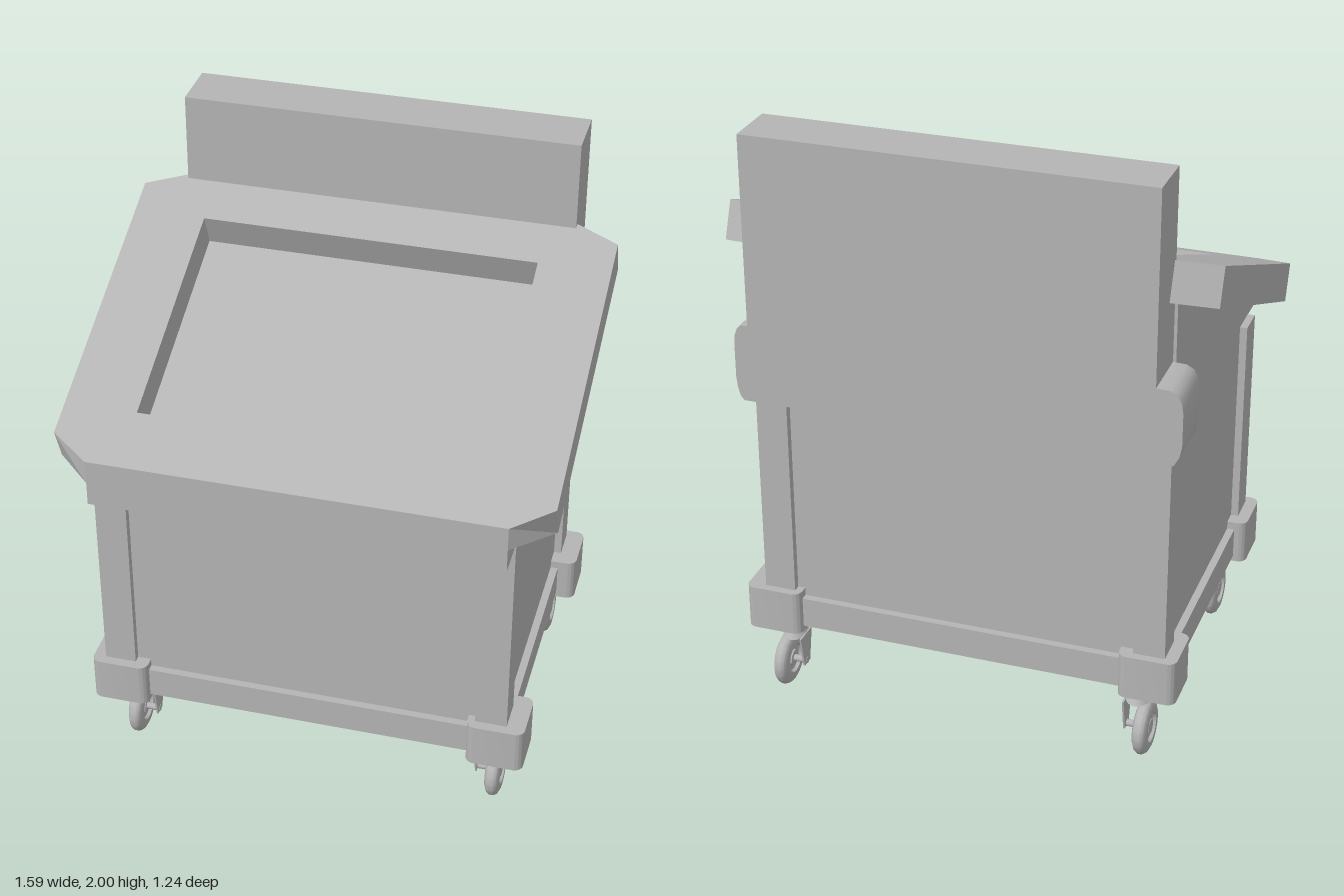
import * as THREE from 'three';
import { toCreasedNormals } from 'three/addons/utils/BufferGeometryUtils.js';

const SLOPE = Math.atan(0.411);
const SLAB = 0.127; // thickness of the sloped console top

export function createModel() {
  const model = new THREE.Group();
  model.name = 'kioskCart';
  const grey = new THREE.MeshStandardMaterial({ color: 0xb4b4b4 });
  grey.name = 'light grey';

  const add = (name, geometry, parent = model) => {
    const mesh = new THREE.Mesh(geometry, grey);
    mesh.name = name;
    parent.add(mesh);
    return mesh;
  };
  // box given by its limits on each axis
  const box = (name, x0, x1, y0, y1, z0, z1, parent) => {
    const g = new THREE.BoxGeometry(x1 - x0, y1 - y0, z1 - z0);
    g.translate((x0 + x1) / 2, (y0 + y1) / 2, (z0 + z1) / 2);
    return add(name, g, parent);
  };
  const shapeOf = (points) => new THREE.Shape(points.map(([x, y]) => new THREE.Vector2(x, y)));
  const extrude = (shape, depth) =>
    new THREE.ExtrudeGeometry(shape, { depth, bevelEnabled: false, curveSegments: 6 });

  // cabinet: recessed core, base frame and corner posts
  const L = -0.69, R = 0.67, F = 0.505, B = -0.545, inset = 0.025;
  box('cabinetPanels', L + inset, R - inset, 0.36, 1.11, B + inset, F - inset);
  box('baseFrame', L, R, 0.26, 0.365, B, F);
  for (const x of [L, R - 0.104]) {
    for (const z of [B, F - 0.107]) box('cornerPost', x, x + 0.104, 0.36, 1.112, z, z + 0.107);
  }

  // back panel with rounded shoulders low on each side
  const xl = -0.655, xr = 0.65;
  const bump = [[0, 1.372], [0.024, 1.37], [0.036, 1.358], [0.044, 1.335], [0.047, 1.3],
    [0.047, 1.19], [0.043, 1.155], [0.034, 1.125], [0.022, 1.112]];
  const rightSide = bump.map(([d, y]) => [xr + d, y]);
  const leftSide = bump.map(([d, y]) => [xl - d * 1.8, y]).reverse();
  const back = extrude(shapeOf([[xr, 2], ...[[xl, 2]], ...leftSide.slice().reverse(),
    ...rightSide.slice().reverse()]), 0.185);
  back.translate(0, 0, -0.62);
  add('backPanel', toCreasedNormals(back, 0.6));

  // console body: side profile (-z, y) extruded across the width
  const body = extrude(shapeOf([[-0.62, 1.11], [0.435, 1.11], [0.435, 1.565],
    [-0.49, 1.19], [-0.62, 1.19]]), 1.33);
  body.rotateY(Math.PI / 2);
  body.translate(-0.665, 0, 0);
  add('consoleBody', body);

  // sloped console top with cut corners and a display opening
  const top = shapeOf([[-0.665, 0], [0.665, 0], [0.793, 0.088], [0.793, 1.097],
    [0.655, 1.157], [-0.655, 1.157], [-0.793, 1.097], [-0.793, 0.088]]);
  const [h, s0, s1] = [0.556, 0.205, 0.984];
  top.holes.push(new THREE.Path([[-h, s0], [-h, s1], [h, s1], [h, s0]]
    .map(([x, y]) => new THREE.Vector2(x, y))));
  const onSlope = (g) => g.rotateX(SLOPE - Math.PI / 2).translate(0, 1.27, 0.62);
  const slab = onSlope(extrude(top, SLAB).translate(0, 0, -SLAB));
  // the front lower edge is pulled forward so the nose is vertical
  const p = slab.attributes.position;
  for (let i = 0; i < p.count; i++) {
    if (p.getY(i) < 1.18) p.setXYZ(i, p.getX(i), 1.19, 0.62);
  }
  slab.computeVertexNormals();
  add('consoleTop', slab);
  const floor = new THREE.BoxGeometry(2 * h + 0.002, s1 - s0 + 0.002, 0.008);
  floor.translate(0, (s0 + s1) / 2, -0.124);
  add('displayFloor', onSlope(floor));

  // corner feet with rounded upright edges
  const a = 0.095, r = 0.03;
  const foot = new THREE.Shape();
  foot.moveTo(-a + r, -a).lineTo(a - r, -a).absarc(a - r, -a + r, r, -Math.PI / 2, 0);
  foot.lineTo(a, a - r).absarc(a - r, a - r, r, 0, Math.PI / 2);
  foot.lineTo(-a + r, a).absarc(-a + r, a - r, r, Math.PI / 2, Math.PI);
  foot.lineTo(-a, -a + r).absarc(-a + r, -a + r, r, Math.PI, Math.PI * 1.5);
  const footGeometry = toCreasedNormals(extrude(foot, 0.152).rotateX(-Math.PI / 2), 0.6);

  // wheel profile (radius, axial) with recessed side rings
  const half = [[0, 0.02], [0.026, 0.02], [0.028, 0.013], [0.046, 0.013], [0.05, 0.024],
    [0.07, 0.024], [0.085, 0.017], [0.092, 0.006]];
  const profile = [...half.map(([q, t]) => [q, -t]), ...half.slice().reverse()];
  const wheel = toCreasedNormals(new THREE.LatheGeometry(
    profile.map(([q, t]) => new THREE.Vector2(q, t)), 20).rotateZ(Math.PI / 2), 0.6);

  for (const side of [-1, 1]) {
    for (const [footZ, wheelZ] of [[0.443, 0.385], [-0.478, -0.5]]) {
      add('cornerFoot', footGeometry).position.set(side * 0.636, 0.24, footZ);

      // swivel caster with a one-sided arm on the inner face
      const caster = new THREE.Group();
      caster.name = 'caster';
      caster.position.set(side * 0.62, 0, wheelZ);
      model.add(caster);
      add('wheel', wheel, caster).position.y = 0.095;
      const inner = -side * 0.063;
      const stem = add('stem', new THREE.CylinderGeometry(0.016, 0.016, 0.05, 12), caster);
      stem.position.set(-side * 0.03, 0.22, 0.01);
      const plate = add('swivelPlate', new THREE.CylinderGeometry(0.04, 0.055, 0.02, 12), caster);
      plate.position.set(-side * 0.026, 0.203, 0.01);
      plate.scale.x = 0.75;
      // tapered arm reaching down to the axle
      const arm = extrude(shapeOf([[-0.045, 0.2], [-0.022, 0.085], [0.022, 0.085],
        [0.045, 0.2]]), 0.006).rotateY(Math.PI / 2);
      add('forkArm', arm, caster).position.x = inner - 0.003;
      const axle = add('axle', new THREE.CylinderGeometry(0.012, 0.012, 0.075, 10)
        .rotateZ(Math.PI / 2), caster);
      axle.position.set(-side * 0.03, 0.095, 0);
    }
  }
  return model;
}
